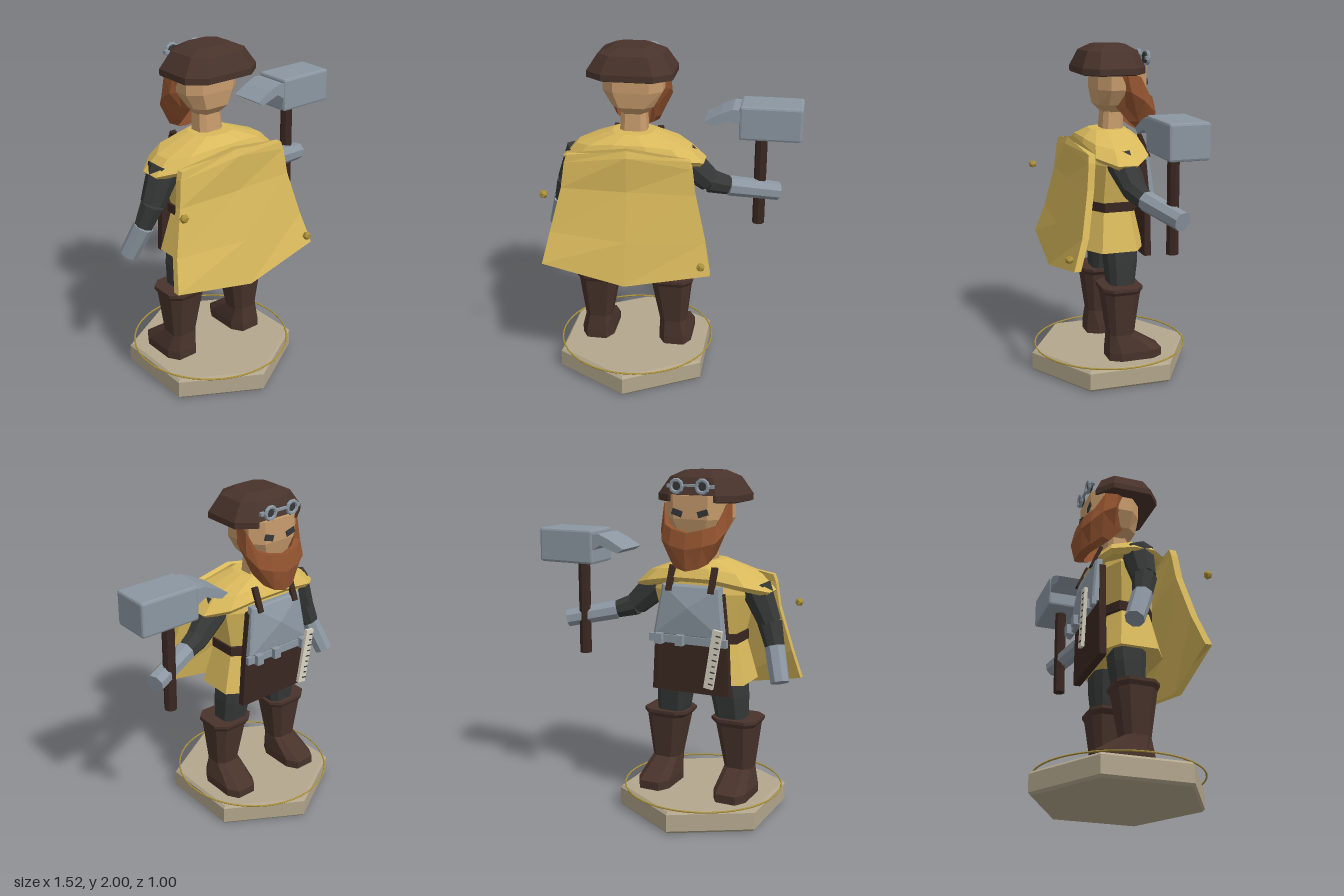
import * as THREE from 'three';
import { RoundedBoxGeometry } from 'three/addons/geometries/RoundedBoxGeometry.js';

const mat = (name, color) => Object.assign(new THREE.MeshStandardMaterial({ color }), { name });
const V = (p) => new THREE.Vector3(...p);

// Join rings of points (counter-clockwise seen from the last ring) and cap both ends.
function loft(rings) {
  const pos = [], n = rings[0].length;
  const tri = (a, b, c) => pos.push(...a, ...b, ...c);
  for (let i = 0; i + 1 < rings.length; i++)
    for (let j = 0; j < n; j++) {
      const k = (j + 1) % n, a = rings[i], b = rings[i + 1];
      tri(a[j], a[k], b[k]);
      tri(a[j], b[k], b[j]);
    }
  const mid = (r) => [0, 1, 2].map((k) => r.reduce((s, p) => s + p[k], 0) / n);
  const first = rings[0], last = rings[rings.length - 1];
  for (let j = 0; j < n; j++) {
    const k = (j + 1) % n;
    tri(mid(first), first[k], first[j]);
    tri(mid(last), last[j], last[k]);
  }
  const g = new THREE.BufferGeometry();
  g.setAttribute('position', new THREE.Float32BufferAttribute(pos, 3));
  return g;
}

// Horizontal rectangle with cut corners.
function oct(y, hx, hz, cx = 0, cz = 0, cut = 0.4) {
  const kx = hx * (1 - cut), kz = hz * (1 - cut);
  return [[hx, kz], [hx, -kz], [kx, -hz], [-kx, -hz], [-hx, -kz], [-hx, kz], [-kx, hz], [kx, hz]]
    .map(([x, z]) => [cx + x, y, cz + z]);
}

export function createModel() {
  const cloth = mat('yellowCloth', 0xd9b95c), leather = mat('brownLeather', 0x48332b);
  const dark = mat('darkLeather', 0x3a2721), hair = mat('redHair', 0x92532f);
  const skin = mat('skin', 0xc89c6d), steel = mat('steel', 0x8c97a2);
  const charcoal = mat('charcoal', 0x363838), stone = mat('stone', 0xb3a78d);
  const brass = mat('brass', 0xa98f38), ivory = mat('ivory', 0xd8d3c3);

  const model = new THREE.Group();
  model.name = 'figurine';
  const body = new THREE.Group();
  body.name = 'figure';
  body.position.x = -0.2;
  model.add(body);

  const add = (name, geo, material, p = [0, 0, 0], r = [0, 0, 0]) => {
    const g = geo.index ? geo.toNonIndexed() : geo;
    g.computeVertexNormals();
    const m = new THREE.Mesh(g, material);
    m.name = name;
    m.position.set(...p);
    m.rotation.set(...r);
    body.add(m);
    return m;
  };
  const box = (name, w, h, d, material, p, r) => add(name, new THREE.BoxGeometry(w, h, d), material, p, r);
  const limb = (name, a, b, ra, rb, material, n = 8) => {
    const d = V(b).sub(V(a));
    const m = add(name, new THREE.CylinderGeometry(rb, ra, d.length(), n), material);
    m.position.copy(V(a).addScaledVector(d, 0.5));
    m.quaternion.setFromUnitVectors(new THREE.Vector3(0, 1, 0), d.normalize());
  };

  // Six-sided base and thin ring
  const hex = (y, r) => Array.from({ length: 6 }, (_, i) => {
    const a = Math.PI / 6 + i * Math.PI / 3;
    return [Math.cos(a) * r, y, -Math.sin(a) * r];
  });
  add('base', loft([hex(0, 0.485), hex(0.015, 0.5), hex(0.115, 0.5), hex(0.13, 0.485)]), stone);
  add('baseRing', new THREE.TorusGeometry(0.47, 0.005, 6, 48), brass, [0, 0.14, 0], [Math.PI / 2, 0, 0]);

  // Boots and legs
  for (const s of [1, -1]) {
    add('boot', loft([
      oct(0.13, 0.1, 0.165, s * 0.245, -0.075), oct(0.18, 0.1, 0.165, s * 0.245, -0.075),
      oct(0.285, 0.08, 0.075, s * 0.235, 0.005), oct(0.55, 0.118, 0.11, s * 0.225, 0.005),
    ]), leather);
    add('bootCuff', loft([
      oct(0.545, 0.118, 0.11, s * 0.223, 0.005), oct(0.57, 0.138, 0.122, s * 0.22, 0.005),
      oct(0.588, 0.138, 0.122, s * 0.22, 0.005),
    ]), leather);
    add('leg', loft([
      oct(0.57, 0.085, 0.075, s * 0.19, -0.01), oct(0.72, 0.098, 0.09, s * 0.175, -0.015),
      oct(0.88, 0.105, 0.1, s * 0.15, -0.01),
    ]), charcoal);
  }

  // Tunic with belt
  add('tunic', loft([
    oct(0.8, 0.29, 0.18, 0, 0.02), oct(1.03, 0.23, 0.135, 0, 0.02), oct(1.08, 0.225, 0.135, 0, 0.02),
    oct(1.32, 0.28, 0.15, 0, 0.01), oct(1.42, 0.25, 0.13, 0, 0.01),
  ]), cloth);
  add('belt', loft([oct(1.035, 0.24, 0.145, 0, 0.01), oct(1.09, 0.24, 0.145, 0, 0.01)]), dark);

  // Shoulder mantle with a dipped hem at the sides
  const mantleRing = (ySide, yMid, hx, hz, cz) => Array.from({ length: 12 }, (_, i) => {
    const a = (i + 0.5) * Math.PI / 6, c = Math.cos(a), q = Math.sin(a);
    const z = Math.sign(q) * Math.min(1, Math.abs(q) * 1.18);
    return [c * hx * 1.035, yMid + (ySide - yMid) * c * c, cz - z * hz];
  });
  add('mantle', loft([
    mantleRing(1.31, 1.39, 0.39, 0.17, 0.01), mantleRing(1.335, 1.415, 0.415, 0.19, 0.01),
    mantleRing(1.42, 1.465, 0.33, 0.165, 0.015), mantleRing(1.505, 1.505, 0.12, 0.11, 0.01),
  ]), cloth);

  // Cape: side height, centre height, half width, side z, centre z
  add('cape', loft([
    [0.77, 0.675, 0.49, 0.335, 0.363], [0.95, 0.93, 0.45, 0.275, 0.31],
    [1.21, 1.215, 0.385, 0.225, 0.245], [1.36, 1.42, 0.365, 0.21, 0.25], [1.405, 1.46, 0.35, 0.205, 0.235],
  ].map(([ys, yc, w, zs, zc]) => [
    [w, ys, zs - 0.02], [0, yc, zc - 0.02], [-w, ys, zs - 0.02],
    [-w, ys, zs + 0.02], [0, yc, zc + 0.02], [w, ys, zs + 0.02],
  ])), cloth);
  for (const p of [[-0.45, 1.22, 0.37], [0.44, 0.83, 0.37]])
    add('brassBead', new THREE.IcosahedronGeometry(0.026, 0), brass, p);

  // Apron, faceted chest plate and straps
  add('apron', loft([
    oct(0.75, 0.24, 0.022, 0, -0.172, 0.1), oct(1.05, 0.225, 0.022, 0, -0.172, 0.1),
    oct(1.33, 0.19, 0.02, 0, -0.158, 0.1),
  ]), dark);
  const plate = (k, z) => [[-0.18, 1.37], [0.18, 1.37], [0.22, 1.08], [-0.22, 1.08]]
    .map(([x, y]) => [x * k, 1.25 + (y - 1.25) * k, z + (y - 1.25) * 0.12 * k]);
  add('chestPlate', loft([plate(1, -0.17), plate(1, -0.2), plate(0.93, -0.21), plate(0.02, -0.24)]), steel);
  box('toolBar', 0.48, 0.045, 0.025, steel, [0, 1.065, -0.225]);
  for (const x of [-0.17, 0.04, 0.17]) box('toolClip', 0.045, 0.06, 0.04, steel, [x, 1.065, -0.245]);
  for (const s of [1, -1])
    box('apronStrap', 0.035, 0.15, 0.02, dark, [s * 0.13, 1.405, -0.18], [0.4, 0, 0]);

  // Measuring rule with ticks
  const rule = box('rule', 0.055, 0.34, 0.02, ivory, [-0.175, 0.98, -0.268], [0, 0, 0.16]);
  for (let i = 0; i < 9; i++) {
    const tick = new THREE.Mesh(new THREE.BoxGeometry(i % 2 ? 0.018 : 0.028, 0.007, 0.004), charcoal);
    tick.name = 'ruleTick';
    tick.position.set(-0.012, -0.14 + i * 0.035, -0.011);
    rule.add(tick);
  }

  // Arms and gauntlets
  const arm = (shoulder, elbow, cuff, hand) => {
    limb('upperArm', shoulder, elbow, 0.095, 0.07, charcoal);
    limb('forearm', elbow, cuff, 0.07, 0.055, charcoal);
    limb('gauntlet', cuff, hand, 0.06, 0.055, steel);
  };
  arm([0.28, 1.35, 0.01], [0.44, 1.2, -0.02], [0.55, 1.165, -0.05], [0.835, 1.105, -0.155]);
  arm([-0.31, 1.36, 0.01], [-0.4, 1.16, 0.01], [-0.445, 1.03, -0.02], [-0.505, 0.845, -0.09]);

  // Hammer
  limb('hammerHandle', [0.725, 0.9, -0.14], [0.725, 1.5, -0.14], 0.036, 0.036, dark);
  add('hammerHead', new RoundedBoxGeometry(0.36, 0.2, 0.23, 1, 0.014), steel, [0.78, 1.555, -0.14]);
  const claw = new THREE.Shape([[0.62, 1.63], [0.56, 1.635], [0.49, 1.605], [0.4, 1.555], [0.44, 1.53],
    [0.55, 1.57], [0.62, 1.53]].map((p) => new THREE.Vector2(...p)));
  add('hammerClaw', new THREE.ExtrudeGeometry(claw, { depth: 0.215, bevelEnabled: false }), steel, [0, 0, -0.247]);

  // Neck and head
  add('neck', loft([oct(1.47, 0.08, 0.065, 0, -0.01), oct(1.66, 0.07, 0.06, 0, -0.02)]), skin);
  add('head', loft([
    oct(1.6, 0.07, 0.09, 0, -0.05), oct(1.65, 0.12, 0.135, 0, -0.05),
    oct(1.74, 0.172, 0.15, 0, -0.055), oct(1.87, 0.175, 0.15, 0, -0.055),
  ]), skin);
  for (const s of [1, -1])
    box('eye', 0.062, 0.034, 0.008, charcoal, [s * 0.078, 1.775, -0.207], [0, 0, s * 0.3]);

  // Beard: half width, z, then top, middle and bottom heights
  const half = [[0.2, -0.07, 1.83, 1.73, 1.64], [0.2, -0.15, 1.82, 1.68, 1.55], [0.165, -0.215, 1.71, 1.62, 1.5],
    [0.1, -0.255, 1.69, 1.6, 1.475], [0, -0.27, 1.67, 1.58, 1.46]];
  const columns = [...half, ...half.slice(0, 4).reverse().map(([x, ...rest]) => [-x, ...rest])];
  add('beard', loft(columns.map(([x, z, t, m, b]) => [
    [x * 0.95, t, z + 0.01], [x, m, z - 0.01], [x * 0.68, b, z + 0.005],
    [x * 0.55, b, z + 0.06], [x * 0.86, t, z + 0.045],
  ])), hair);

  // Cap
  add('cap', loft([
    oct(1.828, 0.225, 0.175, 0, 0.008), oct(1.835, 0.243, 0.192, 0, 0.008), oct(1.87, 0.243, 0.192, 0, 0.008),
    oct(1.965, 0.18, 0.15, 0, 0.008), oct(2.0, 0.105, 0.09, 0, 0.005),
  ]), leather);

  // Goggles on the cap
  for (const s of [1, -1]) {
    add('goggleRim', new THREE.TorusGeometry(0.035, 0.011, 6, 10), steel, [s * 0.078, 1.92, -0.215]);
    add('goggleLens', new THREE.CylinderGeometry(0.034, 0.034, 0.02, 10), charcoal,
      [s * 0.078, 1.92, -0.205], [Math.PI / 2, 0, 0]);
    box('goggleHinge', 0.03, 0.02, 0.02, steel, [s * 0.125, 1.92, -0.2]);
  }
  box('goggleBridge', 0.08, 0.014, 0.014, steel, [0, 1.925, -0.21]);

  return model;
}
